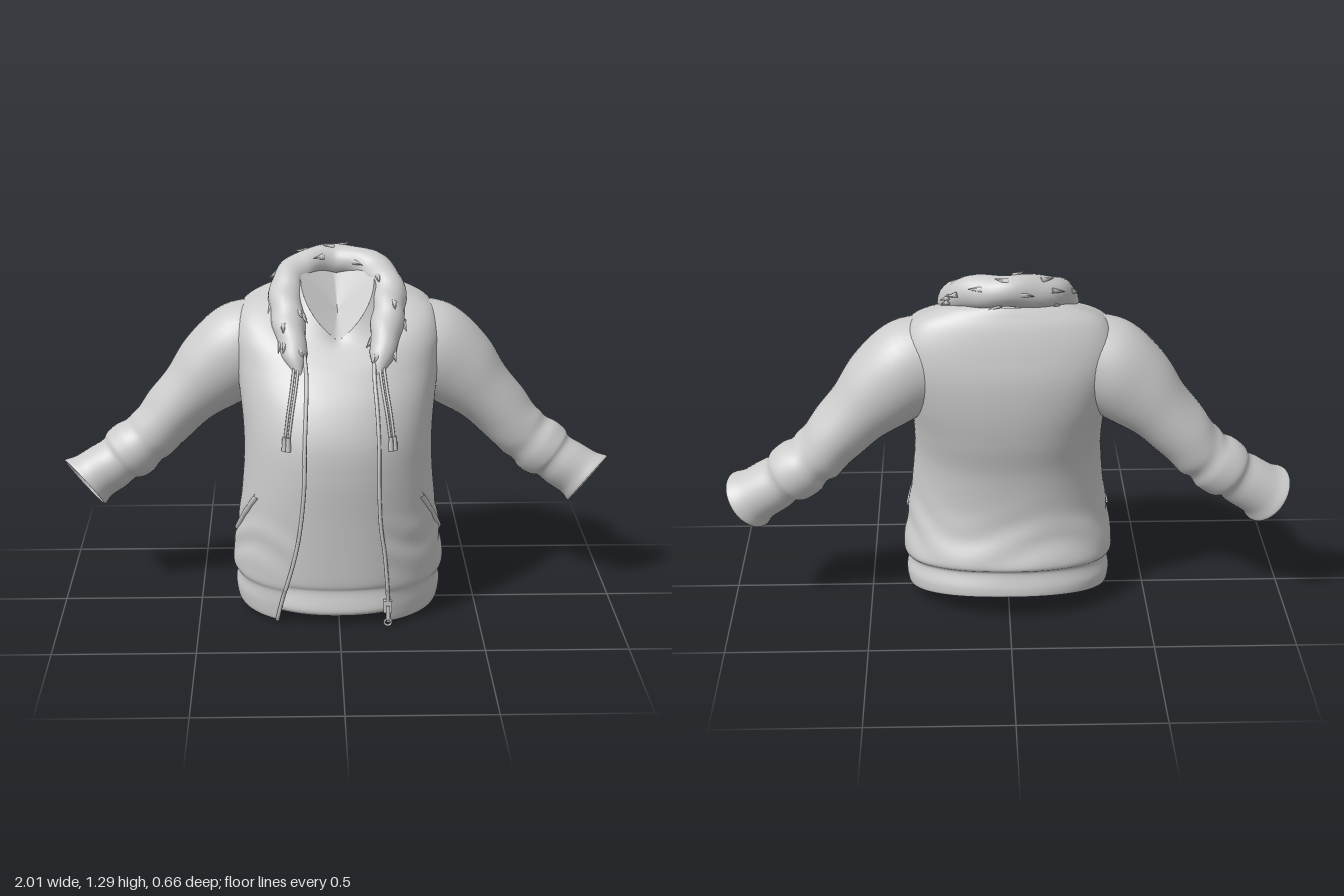
import * as THREE from 'three';

const mat = new THREE.MeshStandardMaterial({ color: 0xcccccc, side: THREE.DoubleSide });
const V = (x, y, z) => new THREE.Vector3(x, y, z);
const lerp = THREE.MathUtils.lerp;
const TAU = Math.PI * 2;

// Smooth interpolation through rows of numbers, v from 0 to 1
function sample(keys, v) {
  const n = keys.length - 1, f = Math.min(Math.max(v, 0), 1) * n;
  const i = Math.min(Math.floor(f), n - 1), t = f - i;
  const k = j => keys[Math.min(Math.max(j, 0), n)];
  return keys[i].map((_, c) => {
    const a = k(i - 1)[c], b = k(i)[c], d = k(i + 1)[c], e = k(i + 2)[c];
    return b + 0.5 * t * (d - a + t * (2 * a - 5 * b + 4 * d - e + t * (3 * (b - d) + e - a)));
  });
}

// Surface grid from fn(u, v); closed joins u = 1 back to u = 0
function grid(fn, nu, nv, closed) {
  const pos = [], idx = [], cols = closed ? nu : nu + 1;
  for (let j = 0; j <= nv; j++)
    for (let i = 0; i < cols; i++) pos.push(...fn(i / nu, j / nv).toArray());
  for (let j = 0; j < nv; j++)
    for (let i = 0; i < nu; i++) {
      const a = j * cols + i, b = j * cols + (i + 1) % cols;
      idx.push(a, b, b + cols, a, b + cols, a + cols);
    }
  const g = new THREE.BufferGeometry();
  g.setAttribute('position', new THREE.Float32BufferAttribute(pos, 3));
  g.setIndex(idx);
  g.computeVertexNormals();
  return g;
}

// Torso rows: half width, front y, front z, back y, back z, side y, side power,
// back roundness, left edge x, right edge x
const torso = [
  [0.340, 0.035, 0.262, 0.115, -0.280, 0.06, 2, 0.9, 0.175, 0.215],
  [0.362, 0.010, 0.285, 0.100, -0.300, 0.04, 2, 0.9, 0.175, 0.220],
  [0.372, 0.060, 0.295, 0.130, -0.300, 0.09, 2, 0.9, 0.173, 0.210],
  [0.364, 0.125, 0.302, 0.185, -0.285, 0.14, 2, 0.9, 0.170, 0.195],
  [0.382, 0.160, 0.310, 0.215, -0.304, 0.18, 2, 0.9, 0.168, 0.185],
  [0.368, 0.280, 0.318, 0.310, -0.272, 0.29, 2, 0.9, 0.158, 0.155],
  [0.352, 0.400, 0.326, 0.400, -0.260, 0.40, 2, 0.9, 0.142, 0.135],
  [0.338, 0.550, 0.336, 0.550, -0.272, 0.55, 2, 0.8, 0.136, 0.122],
  [0.338, 0.680, 0.328, 0.680, -0.303, 0.68, 2, 0.65, 0.135, 0.120],
  [0.350, 0.800, 0.282, 0.800, -0.322, 0.80, 2, 0.5, 0.130, 0.115],
  [0.365, 0.900, 0.212, 0.920, -0.325, 0.92, 2, 0.42, 0.122, 0.112],
  [0.370, 0.970, 0.155, 1.020, -0.308, 1.02, 2, 0.42, 0.125, 0.120],
  [0.335, 1.000, 0.115, 1.100, -0.285, 1.095, 2, 0.5, 0.130, 0.130],
  [0.250, 1.010, 0.085, 1.150, -0.262, 1.135, 2, 0.6, 0.140, 0.140],
  [0.170, 1.000, 0.050, 1.175, -0.248, 1.140, 2, 0.8, 0.145, 0.145],
];
const POW = 0.92;
const bend = (c, p) => Math.sign(c) * Math.pow(Math.abs(c), p);
// Point on a torso row at angle a (0 = front, PI/2 = left), pushed outward by off
function ringPoint([w, yF, zF, yB, zB, yS, p, back], a, off = 0) {
  const s = Math.sin(a), c = Math.cos(a), t = (1 - c) / 2;
  const y = lerp(yF, yB, t) + (yS - (yF + yB) / 2) * Math.pow(Math.abs(s), p);
  const z = (zF + zB) / 2 + ((zF - zB) / 2 + off) * bend(c, c < 0 ? back : POW);
  return V((w + off) * bend(s, POW), y, z);
}
const edgeAngle = (x, w) => Math.asin(Math.min(1, Math.pow(x / w, 1 / POW)));
// Point on the jacket at height y and angle a
function onJacket(y, a, off) {
  let v = 0.12;
  while (v < 1 && ringPoint(sample(torso, v), a).y < y) v += 0.002;
  return ringPoint(sample(torso, v), a, off);
}

// Sleeve rows: centre x, y, z, radius in the front plane, radius in z, tilt in degrees, forward slant
const sleeveRows = [
  [0.240, 0.950, -0.125, 0.160, 0.140, 86, 0],
  [0.355, 0.918, -0.130, 0.172, 0.160, 72, 0],
  [0.450, 0.842, -0.134, 0.152, 0.151, 54, 0],
  [0.530, 0.760, -0.138, 0.122, 0.137, 47, 0],
  [0.610, 0.675, -0.142, 0.108, 0.128, 45, 0],
  [0.665, 0.610, -0.142, 0.104, 0.120, 48, 0],
  [0.700, 0.580, -0.140, 0.098, 0.113, 50, 0],
  [0.735, 0.550, -0.140, 0.107, 0.118, 50, 0],
  [0.775, 0.520, -0.138, 0.106, 0.114, 51, 0.01],
  [0.800, 0.503, -0.132, 0.092, 0.101, 51, 0.015],
  [0.840, 0.475, -0.128, 0.096, 0.100, 51, 0.02],
  [0.895, 0.440, -0.125, 0.098, 0.098, 51, 0.03],
  [0.928, 0.417, -0.123, 0.110, 0.104, 51, 0.035],
  [0.924, 0.420, -0.123, 0.092, 0.088, 51, 0.035],
  [0.880, 0.452, -0.125, 0.075, 0.075, 51, 0.02],
  [0.840, 0.480, -0.128, 0, 0, 51, 0],
];
function sleeve(side) {
  return grid((u, v) => {
    const [x, y, z, r, rz, deg, slant] = sample(sleeveRows, v);
    const a = u * TAU, th = deg * Math.PI / 180;
    const crease = v > 0.15 && v < 0.55 ? 0.025 * Math.sin(Math.PI * (v - 0.15) / 0.4) : 0;
    const k = (1 + crease * Math.sin(v * 55 + 2 * a)) * Math.cos(a) * r, d = -slant * Math.sin(a);
    return V(side * (x + k * Math.cos(th) + d * Math.sin(th)),
      y + k * Math.sin(th) - d * Math.cos(th), z + rz * Math.sin(a));
  }, 40, 90, true);
}

export function createModel() {
  const model = new THREE.Group();
  const add = (name, geo, parent = model) => {
    const m = new THREE.Mesh(geo, mat);
    m.name = name;
    parent.add(m);
    return m;
  };
  const tube = (pts, r, n = 40) => new THREE.TubeGeometry(new THREE.CatmullRomCurve3(pts), n, r, 8);

  // Jacket body, open down the front
  add('jacketBody', grid((u, v) => {
    const row = sample(torso, v);
    const a0 = edgeAngle(row[8], row[0]), a1 = TAU - edgeAngle(row[9], row[0]);
    const p = ringPoint(row, lerp(a0, a1, u));
    // soft folds above the waistband
    const k = 1 + 0.009 * Math.exp(-Math.pow((p.y - 0.3) / 0.1, 2)) * Math.sin(p.y * 48 + 3 * Math.sin(u * 19));
    return V(p.x * k, p.y, p.z * k);
  }, 112, 112, false));

  // Shirt with a V neck, closed at the neck and hem
  const shirtRows = torso.slice(1, 11).map(([w, yF, zF, yB, zB, yS, p, back], i) =>
    [w - 0.02, yF, zF - (i < 2 ? 0.015 : 0.035), yB, zB + 0.02, yS, p, back]);
  Object.assign(shirtRows[0], { 1: 0.04, 3: 0.12, 5: 0.07 });
  shirtRows.push(
    [0.33, 0.935, 0.145, 1.04, -0.280, 1.02, 1.9, 0.5],
    [0.27, 0.965, 0.117, 1.10, -0.260, 1.07, 1.6, 0.6],
    [0.20, 0.985, 0.095, 1.14, -0.235, 1.11, 1.2, 0.7],
    [0.13, 1.000, 0.070, 1.20, -0.205, 1.19, 0.9, 0.9]);
  add('shirt', grid((u, v) => ringPoint(sample(shirtRows, v), u * TAU), 72, 80, true));
  const cap = (row, centre, dir) =>
    grid((u, v) => ringPoint(row, dir * u * TAU).lerp(centre, v), 48, 6, true);
  add('neckLining', cap(shirtRows[shirtRows.length - 1], V(0, 1.08, -0.07), 1));
  add('hemLining', cap(shirtRows[0], V(0, 0.09, -0.01), -1));

  // Sleeves with gathered cuffs
  add('leftSleeve', sleeve(1));
  add('rightSleeve', sleeve(-1));

  // Zip edges, drawstrings and pockets on both sides
  for (const side of [1, -1]) {
    const name = side > 0 ? 'left' : 'right';
    const edge = [];
    for (let i = 0; i <= 24; i++) {
      const row = sample(torso, lerp(1 / 14, 0.86, i / 24));
      edge.push(ringPoint(row, side * edgeAngle(row[side > 0 ? 8 : 9], row[0]), 0.002));
    }
    add(name + 'ZipEdge', tube(edge, 0.007, 80));

    const cord = new THREE.Group();
    cord.name = name + 'Drawstring';
    model.add(cord);
    for (const dx of [0, 0.014]) {
      const pts = [[0.132, 0.94], [0.145, 0.87], [0.165, 0.78], [0.182, 0.69]].map(([x, y]) =>
        onJacket(y, side * edgeAngle(x + dx, 0.355), 0.007));
      add('cord', tube(pts, 0.005), cord);
      add('cordTip', new THREE.CylinderGeometry(0.007, 0.01, 0.05, 8), cord).position.copy(pts[3]);
    }

    const welt = [];
    for (let i = 0; i <= 8; i++)
      welt.push(onJacket(lerp(0.47, 0.3, i / 8), side * lerp(0.98, 1.48, i / 8), -0.003));
    add(name + 'Pocket', tube(welt, 0.012, 24));
  }

  // Zip slider and pull at the lower left corner
  const zip = new THREE.Group();
  zip.name = 'zipPull';
  zip.position.set(0.172, 0.075, 0.268);
  add('slider', new THREE.BoxGeometry(0.03, 0.045, 0.022), zip);
  add('pullBar', new THREE.BoxGeometry(0.014, 0.05, 0.008), zip).position.set(0, -0.02, 0.014);
  add('pullRing', new THREE.TorusGeometry(0.012, 0.004, 6, 14), zip).position.set(0, -0.056, 0.014);
  model.add(zip);

  // Fur collar: x, y, z, radius along one half, then mirrored
  const half = [[0.138, 0.905, 0.185, 0.01], [0.152, 0.965, 0.135, 0.042], [0.170, 1.040, 0.058, 0.056],
    [0.180, 1.100, -0.018, 0.06], [0.178, 1.158, -0.095, 0.061], [0.125, 1.208, -0.178, 0.058]];
  const furRows = [...half, [0, 1.228, -0.225, 0.055],
    ...half.slice().reverse().map(([x, ...r]) => [-x, ...r])];
  const furFrame = v => {
    const [x, y, z, r] = sample(furRows, v);
    const p = sample(furRows, v - 0.005), q = sample(furRows, v + 0.005);
    const t = V(q[0] - p[0], q[1] - p[1], q[2] - p[2]).normalize();
    const n = V(0, 0.8, 0.6).addScaledVector(t, -t.dot(V(0, 0.8, 0.6))).normalize();
    return { c: V(x, y, z), r, t, n, b: t.clone().cross(n) };
  };
  const furPoint = (u, v) => {
    const { c, r, n, b } = furFrame(v), a = u * TAU;
    const rr = r * (1 + 0.05 * Math.sin(v * 60 + 2 * a));
    return c.addScaledVector(n, rr * Math.cos(a)).addScaledVector(b, rr * Math.sin(a));
  };
  add('furCollar', grid(furPoint, 24, 100, true));

  // Small tufts sweeping toward the collar ends
  let seed = 7;
  const rand = () => (seed = (seed * 16807) % 2147483647) / 2147483647;
  const tufts = new THREE.Group();
  tufts.name = 'furTufts';
  model.add(tufts);
  const cone = new THREE.ConeGeometry(0.012, 0.05, 5);
  for (let i = 0; i < 48; i++) {
    const v = 0.06 + 0.88 * (i + rand()) / 48, u = rand(), f = furFrame(v);
    const p = furPoint(u, v), out = p.clone().sub(f.c).normalize();
    const dir = out.multiplyScalar(0.4).addScaledVector(f.t, Math.sign(v - 0.5)).normalize();
    const m = add('tuft', cone, tufts);
    m.position.copy(p).addScaledVector(dir, 0.008);
    m.quaternion.setFromUnitVectors(V(0, 1, 0), dir);
  }
  return model;
}
